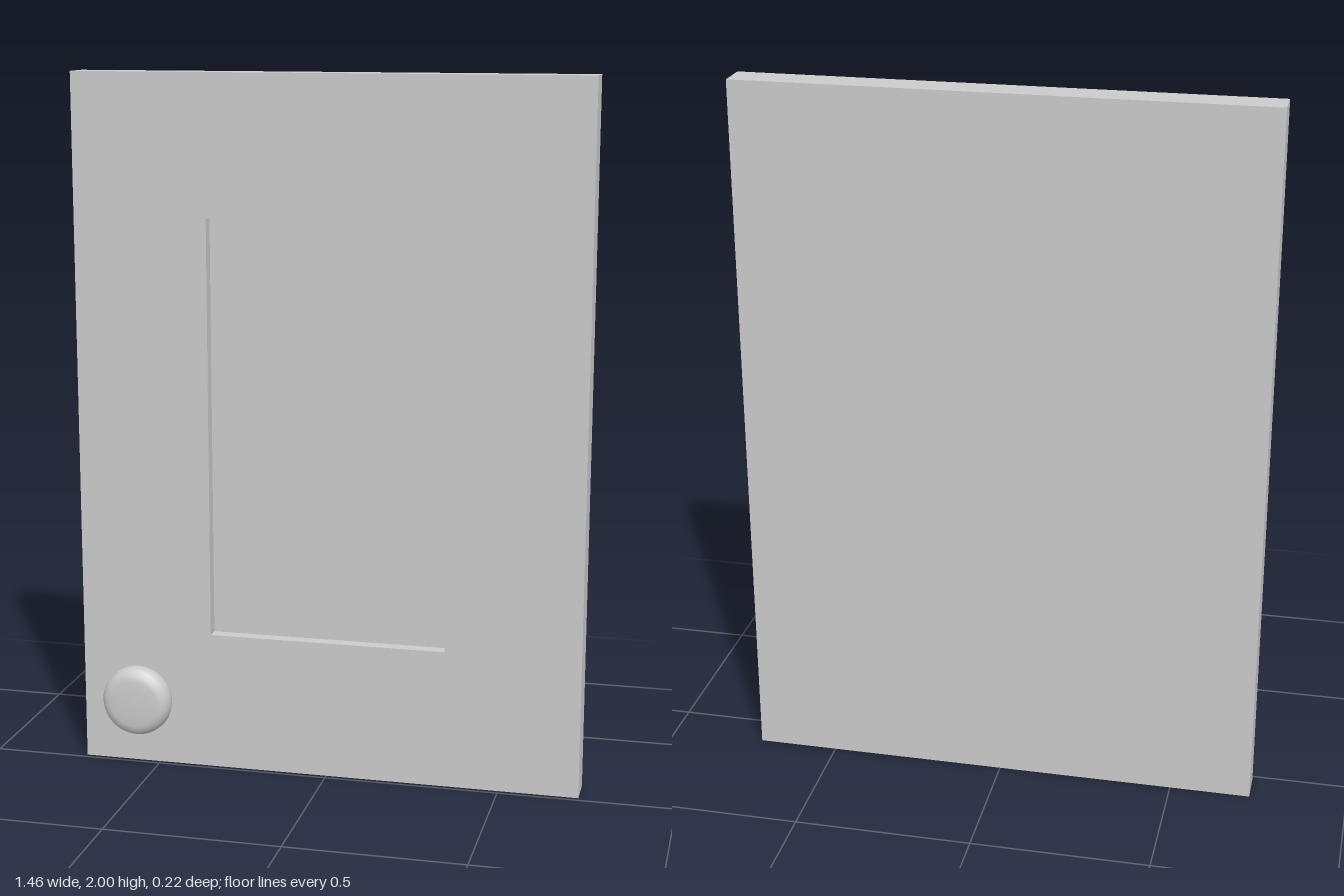
import * as THREE from 'three';

const grey = new THREE.MeshStandardMaterial({ color: 0xcccccc });

// Four corners of an upright rectangle, counter-clockwise seen from the front
function rectangle(halfWidth, bottom, top, z) {
  return [
    [-halfWidth, bottom, z], [halfWidth, bottom, z],
    [halfWidth, top, z], [-halfWidth, top, z],
  ];
}

// One closed skin: back, sides, front rim, recess walls and recess floor
function doorGeometry() {
  const back = -0.108, front = -0.015, recess = -0.052;
  const loops = [
    rectangle(0.728, 0, 2, back),
    rectangle(0.728, 0, 2, front),
    rectangle(0.342, 0.4, 1.6, front),
    rectangle(0.342, 0.4, 1.6, recess),
  ];
  const positions = [];
  const quad = (a, b, c, d) => positions.push(...a, ...b, ...c, ...a, ...c, ...d);

  for (let i = 0; i < loops.length - 1; i++) {
    for (let j = 0; j < 4; j++) {
      const k = (j + 1) % 4;
      quad(loops[i][j], loops[i][k], loops[i + 1][k], loops[i + 1][j]);
    }
  }
  quad(...loops[3]);
  quad(...[...loops[0]].reverse());

  const geometry = new THREE.BufferGeometry();
  geometry.setAttribute('position', new THREE.Float32BufferAttribute(positions, 3));
  geometry.computeVertexNormals();
  return geometry;
}

// Turned knob: narrow stem flaring into a rounded, nearly flat-faced head
function knobGeometry() {
  const profile = [
    [0, 0], [0.036, 0], [0.036, 0.015], [0.039, 0.022], [0.047, 0.029],
    [0.060, 0.036], [0.075, 0.043], [0.089, 0.052], [0.098, 0.064],
    [0.102, 0.078], [0.100, 0.094], [0.094, 0.107], [0.083, 0.116],
    [0.068, 0.120], [0.040, 0.122], [0, 0.123],
  ].map(([r, h]) => new THREE.Vector2(r, h));
  return new THREE.LatheGeometry(profile, 48).rotateX(Math.PI / 2);
}

export function createModel() {
  const model = new THREE.Group();
  model.name = 'cabinetDoor';

  const door = new THREE.Mesh(doorGeometry(), grey);
  door.name = 'doorPanel';
  model.add(door);

  const knob = new THREE.Mesh(knobGeometry(), grey);
  knob.name = 'knob';
  knob.position.set(-0.54, 0.215, -0.015);
  model.add(knob);

  return model;
}
